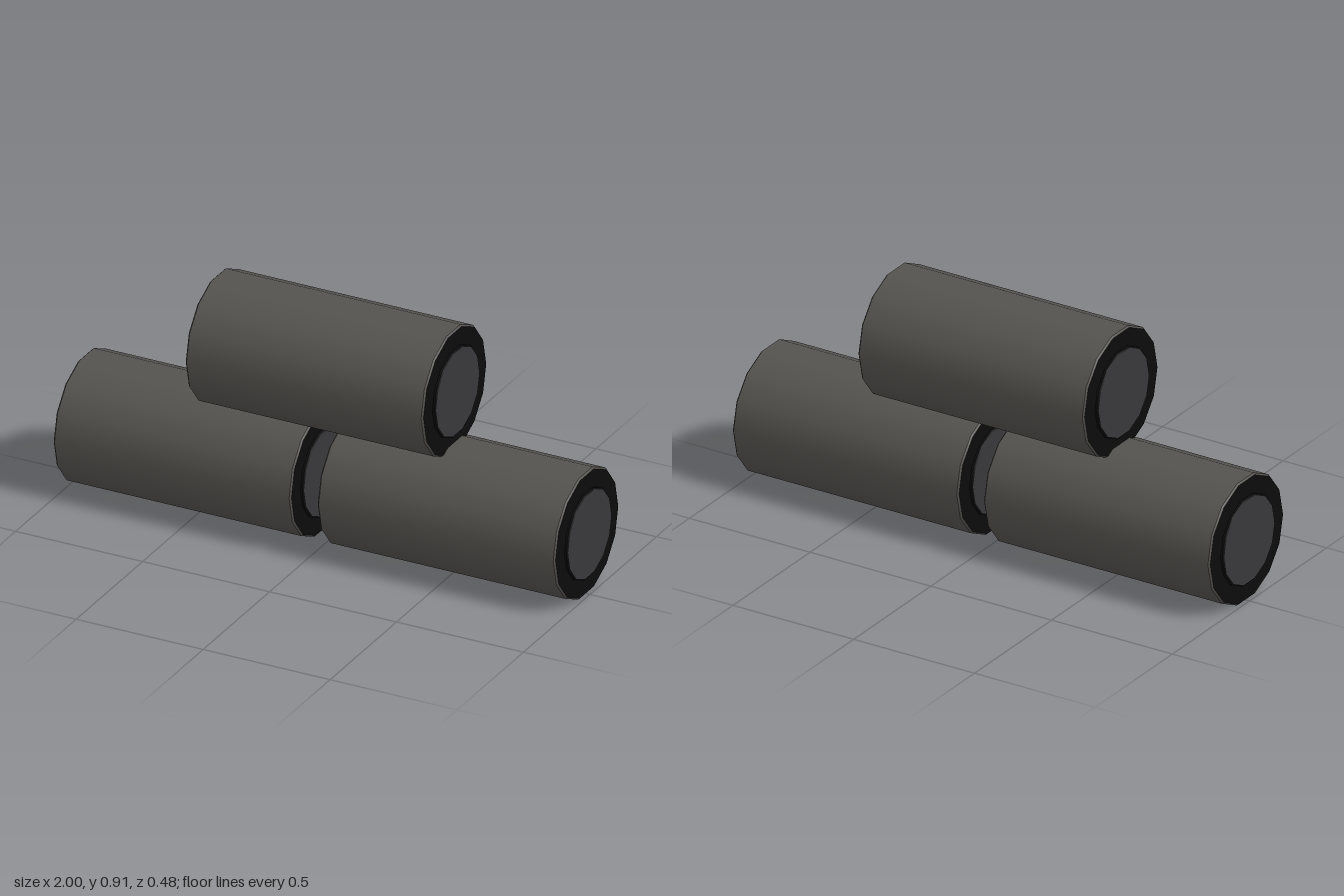
import * as THREE from 'three';

const SIDES = 14;
const RADIUS = 0.242;
const BODY_HALF = 0.468;
const BEVEL = 0.006;
const CAP_RADIUS = 0.17;
const CAP_HALF = 0.48;

const bodyMaterial = new THREE.MeshStandardMaterial({ color: 0x55534f });
const ringMaterial = new THREE.MeshStandardMaterial({ color: 0x0c0c0c });
const capMaterial = new THREE.MeshStandardMaterial({ color: 0x38383a });

function named(name, geometry, material) {
  const mesh = new THREE.Mesh(geometry, material);
  mesh.name = name;
  return mesh;
}

// Open frustum along y between two heights
function band(bottomRadius, topRadius, y0, y1) {
  return new THREE.CylinderGeometry(topRadius, bottomRadius, y1 - y0, SIDES, 1, true)
    .translate(0, (y0 + y1) / 2, 0);
}

// Flat annulus or disc facing +y, with corners matching the bands
function face(inner, outer, y) {
  const geometry = inner > 0
    ? new THREE.RingGeometry(inner, outer, SIDES, 1, Math.PI / 2)
    : new THREE.CircleGeometry(outer, SIDES, Math.PI / 2);
  return geometry.rotateX(-Math.PI / 2).translate(0, y, 0);
}

// Bevelled rim, dark ring and raised cap at one end
function createEnd() {
  const end = new THREE.Group();
  end.name = 'end';
  const capLip = CAP_HALF - 0.004;
  end.add(
    named('rimBevel', band(RADIUS, RADIUS - BEVEL, BODY_HALF - BEVEL, BODY_HALF), bodyMaterial),
    named('endRing', face(CAP_RADIUS, RADIUS - BEVEL, BODY_HALF), ringMaterial),
    named('capWall', band(CAP_RADIUS, CAP_RADIUS, BODY_HALF, capLip), ringMaterial),
    named('capBevel', band(CAP_RADIUS, CAP_RADIUS - BEVEL, capLip, CAP_HALF), ringMaterial),
    named('capFace', face(0, CAP_RADIUS - BEVEL, CAP_HALF), capMaterial)
  );
  return end;
}

// One roll lying along x
function createRoll(name, x, y) {
  const roll = new THREE.Group();
  roll.name = name;
  const side = BODY_HALF - BEVEL;
  roll.add(named('body', band(RADIUS, RADIUS, -side, side), bodyMaterial));
  for (const turn of [0, Math.PI]) {
    const end = createEnd();
    end.rotation.x = turn;
    roll.add(end);
  }
  roll.rotation.z = -Math.PI / 2;
  roll.position.set(x, y, 0);
  return roll;
}

export function createModel() {
  const model = new THREE.Group();
  model.name = 'stackedRolls';
  const low = RADIUS * Math.cos(Math.PI / SIDES);
  model.add(
    createRoll('lowerLeftRoll', 0.52, low),
    createRoll('lowerRightRoll', -0.52, low),
    createRoll('upperRoll', 0, 0.671)
  );
  return model;
}
